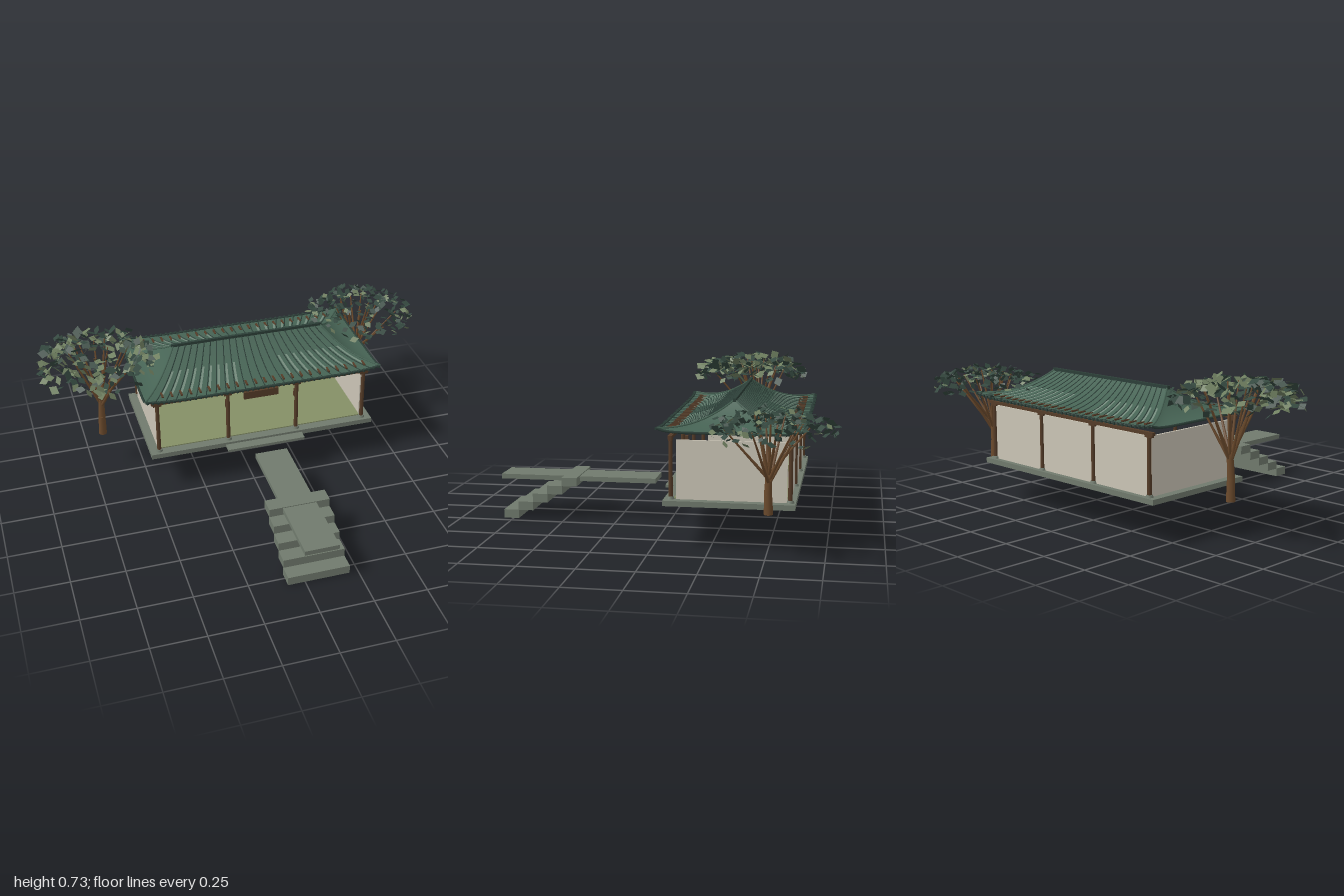
import * as THREE from 'three';
import { mergeGeometries } from 'three/addons/utils/BufferGeometryUtils.js';

const mat = (name, color, side = THREE.FrontSide) => {
  const m = new THREE.MeshStandardMaterial({ color, side });
  m.name = name;
  return m;
};

// Seeded random numbers in 0..1
function seeded(seed) {
  return () => {
    seed = (seed * 16807) % 2147483647;
    return seed / 2147483647;
  };
}

export function createModel() {
  const root = new THREE.Group();
  root.name = 'gardenHall';
  const M = {
    stone: mat('stone', 0x707a6d),
    wood: mat('dark wood', 0x553c28),
    bark: mat('bark', 0x6b4a2c),
    plaster: mat('plaster', 0xcbc5b6),
    mats: mat('floor mats', 0x858f66),
    roof: mat('roof green', 0x466354, THREE.DoubleSide),
    ridge: mat('dark tile', 0x2c3f38),
    pale: mat('pale tile', 0x748a7c, THREE.DoubleSide),
    leafDark: mat('dark leaf', 0x34483f, THREE.DoubleSide),
    leafLight: mat('light leaf', 0x6f7f60, THREE.DoubleSide),
  };
  const add = (name, geo, material, parent = root) => {
    const mesh = new THREE.Mesh(geo, material);
    mesh.name = name;
    parent.add(mesh);
    return mesh;
  };
  // Box given by its limits on each axis
  const box = (name, material, x0, x1, y0, y1, z0, z1) => {
    const g = new THREE.BoxGeometry(x1 - x0, y1 - y0, z1 - z0);
    g.translate((x0 + x1) / 2, (y0 + y1) / 2, (z0 + z1) / 2);
    add(name, g, material);
  };

  // Stairs and the path crossing them
  for (let i = 0; i < 5; i++) {
    const z = 0.797 - i * 0.0715;
    box('stairStep', M.stone, -0.08, 0.21, i * 0.041, i * 0.041 + 0.041, z - 0.0725, z);
  }
  box('path', M.stone, -0.015, 0.145, 0.178, 0.201, 0.07, 0.825);

  // Platform, doorstep and floor
  box('platform', M.stone, -0.5, 0.63, 0.187, 0.211, -0.617, -0.045);
  box('doorstep', M.stone, -0.13, 0.26, 0.187, 0.2, -0.045, 0.003);
  box('floor', M.mats, -0.45, 0.58, 0.211, 0.216, -0.58, -0.09);

  // Walls, open at the front
  box('backWall', M.plaster, -0.455, 0.585, 0.211, 0.472, -0.592, -0.582);
  for (const x of [-0.455, 0.585]) {
    box('sideWall', M.plaster, x - 0.005, x + 0.005, 0.211, 0.472, -0.58, -0.1);
  }

  // Posts on stone feet, with a beam along each row
  for (const z of [-0.075, -0.593]) {
    for (let i = 0; i < 4; i++) {
      const x = -0.457 + i * 0.3473;
      const post = add('post', new THREE.CylinderGeometry(0.009, 0.01, 0.28, 10), M.wood);
      post.position.set(x, 0.351, z);
      const foot = add('postFoot', new THREE.CylinderGeometry(0.014, 0.018, 0.012, 10), M.stone);
      foot.position.set(x, 0.216, z);
      box('postBracket', M.wood, x - 0.02, x + 0.02, 0.468, 0.478, z - 0.008, z + 0.008);
    }
    box('beam', M.wood, -0.485, 0.612, 0.477, 0.491, z - 0.009, z + 0.009);
  }
  box('nameBoard', M.wood, -0.024, 0.15, 0.417, 0.455, -0.1, -0.088);
  for (const x of [-0.11, 0.238]) {
    box('postLantern', M.wood, x - 0.008, x + 0.008, 0.39, 0.43, -0.1, -0.086);
  }

  // Curved hip roof: s runs along a side, t from ridge to eave
  const cx = 0.065, cz = -0.335;
  const roofPoint = (side, s, t, lift = 0) => {
    const hx = 0.375 + 0.21 * t, hz = 0.31 * t;
    const y = 0.514 + 0.115 * Math.pow(Math.max(0, 1 - t), 2.2) + 0.016 * t * t * Math.pow(Math.abs(s), 8) + lift;
    const sign = side < 2 ? 1 : -1;
    return side % 2 === 0
      ? new THREE.Vector3(cx + sign * s * hx, y, cz + sign * hz)
      : new THREE.Vector3(cx + sign * hx, y, cz - sign * s * hz);
  };
  const roofPatch = (side, s0, s1, t0, t1, ns, nt, lift = 0) => {
    const pos = [], idx = [];
    for (let j = 0; j <= nt; j++) {
      for (let i = 0; i <= ns; i++) {
        pos.push(...roofPoint(side, s0 + (s1 - s0) * i / ns, t0 + (t1 - t0) * j / nt, lift).toArray());
        if (i < ns && j < nt) {
          const a = j * (ns + 1) + i, c = a + ns + 1;
          idx.push(a, c, a + 1, a + 1, c, c + 1);
        }
      }
    }
    const g = new THREE.BufferGeometry();
    g.setAttribute('position', new THREE.Float32BufferAttribute(pos, 3));
    g.setIndex(idx);
    g.computeVertexNormals();
    return g;
  };
  const tube = (pts, r, n) => new THREE.TubeGeometry(new THREE.CatmullRomCurve3(pts), n, r, 5);
  const steps = (n, f) => Array.from({ length: n + 1 }, (_, i) => f(i / n));
  const ribs = [], streaks = [], eaves = [], hips = [], teeth = [];
  for (let side = 0; side < 4; side++) {
    add('roofSlope', roofPatch(side, -1, 1, 0, 1, 24, 12), M.roof);
    eaves.push(tube(steps(24, u => roofPoint(side, u * 2 - 1, 1)), 0.006, 24));
    hips.push(tube(steps(10, u => roofPoint(side, 1, u, 0.002)), 0.004, 12));
    if (side % 2) continue;
    // Tile ribs fan out over the long slopes
    for (let i = 0; i < 23; i++) {
      const s = -0.92 + i * 1.84 / 22;
      ribs.push(tube(steps(8, u => roofPoint(side, s, u)), 0.0028, 10));
      if (Math.abs(s) > 0.2) streaks.push(roofPatch(side, s + 0.012, s + 0.034, 0.38, 0.82, 1, 6, 0.003));
      // Rafter ends showing through near the eaves
      const p = roofPoint(side, s + 0.02, 0.83);
      add('rafterEnd', new THREE.BoxGeometry(0.009, 0.012, 0.04), M.wood).position.copy(p);
    }
    for (let i = 0; i < 46; i++) {
      const p = roofPoint(side, -0.98 + i * 1.96 / 45, 1.01);
      teeth.push(new THREE.BoxGeometry(0.009, 0.011, 0.014).translate(p.x, p.y, p.z));
    }
  }
  add('tileRibs', mergeGeometries(ribs), M.ridge);
  add('paleTiles', mergeGeometries(streaks), M.pale);
  add('eaveTrim', mergeGeometries(eaves), M.ridge);
  add('hipRidges', mergeGeometries(hips), M.roof);
  add('eaveTiles', mergeGeometries(teeth), M.ridge);
  box('roofRidge', M.ridge, cx - 0.385, cx + 0.385, 0.622, 0.637, cz - 0.007, cz + 0.007);

  // Trees: bent trunk, fanned branches and a shallow dome of loose leaves
  const up = new THREE.Vector3(0, 1, 0);
  const limb = (a, b, r0, r1, sides) => {
    const d = b.clone().sub(a);
    const g = new THREE.CylinderGeometry(r1, r0, d.length(), sides);
    g.applyQuaternion(new THREE.Quaternion().setFromUnitVectors(up, d.normalize()));
    const mid = a.clone().add(b).multiplyScalar(0.5);
    return g.translate(mid.x, mid.y, mid.z);
  };
  const tree = (name, seed, base, crown, radius, branchY, leafSize, count, lightShare) => {
    const rnd = seeded(seed);
    const group = new THREE.Group();
    group.name = name;
    root.add(group);
    const fork = new THREE.Vector3(base.x + 0.006, branchY, base.z);
    const bend = new THREE.Vector3(base.x + 0.002, (base.y + branchY) / 2, base.z + 0.003);
    add('trunk', mergeGeometries([limb(base, bend, 0.02, 0.017, 8), limb(bend, fork, 0.017, 0.014, 8)]), M.bark, group);
    const limbs = [];
    for (let i = 0; i < 14; i++) {
      const a = i * 2.4, r = radius * (0.2 + 0.55 * ((i * 5) % 14) / 13);
      const tip = new THREE.Vector3(crown.x + r * Math.cos(a), crown.y - 0.05 - 0.1 * (r / radius) ** 2, crown.z + r * Math.sin(a));
      const start = fork.clone();
      start.y -= 0.05 * rnd();
      limbs.push(limb(start, tip, 0.008, 0.003, 5));
    }
    add('branches', mergeGeometries(limbs), M.bark, group);
    const light = [], dark = [];
    for (let i = 0; i < count; i++) {
      const q = Math.sqrt(0.03 + 0.97 * rnd()), a = rnd() * Math.PI * 2;
      const size = leafSize * (0.65 + 0.6 * rnd());
      const leaf = new THREE.CircleGeometry(size / 2, 4);
      leaf.scale(1, 0.75, 1);
      leaf.rotateX(-Math.PI / 2 + (rnd() - 0.5) * 2.2);
      leaf.rotateZ((rnd() - 0.5) * 1.6);
      leaf.rotateY(rnd() * 6.28);
      const y = crown.y - 0.02 - 0.07 * q * q - 0.065 * rnd();
      leaf.translate(crown.x + radius * q * Math.cos(a), y, crown.z + radius * q * Math.sin(a));
      (rnd() < lightShare ? light : dark).push(leaf);
    }
    add('lightLeaves', mergeGeometries(light), M.leafLight, group);
    add('darkLeaves', mergeGeometries(dark), M.leafDark, group);
  };
  const V = (x, y, z) => new THREE.Vector3(x, y, z);
  tree('rightTree', 71, V(-0.687, 0.186, -0.34), V(-0.69, 0.745, -0.305), 0.285, 0.39, 0.057, 260, 0.45);
  tree('leftTree', 409, V(0.705, 0.186, -0.51), V(0.725, 0.665, -0.52), 0.27, 0.36, 0.042, 270, 0.15);

  return root;
}
